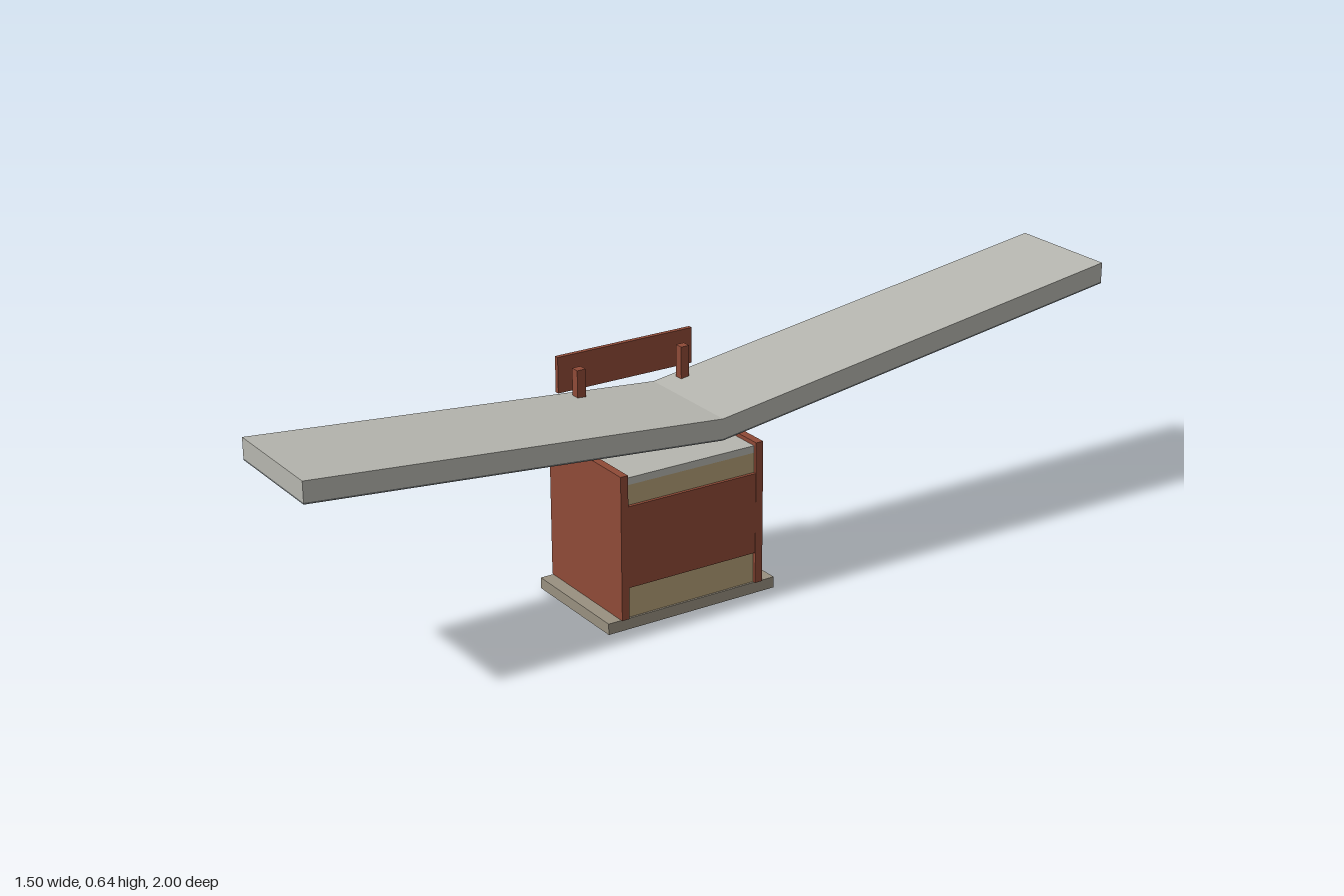
import * as THREE from 'three';

const material = (name, color) => {
  const m = new THREE.MeshStandardMaterial({ color });
  m.name = name;
  return m;
};

export function createModel() {
  const brick = material('rust red', 0x8f4a37);
  const concrete = material('pale concrete', 0xb6b6af);
  const dark = material('dark soffit grey', 0x6a6e6e);
  const stone = material('base stone', 0x989080);
  const cream = material('cream', 0xb5a077);
  const glass = material('dark glass', 0x344f57);

  const group = new THREE.Group();
  group.name = 'shelter';
  // The whole building stands turned on its plot
  const body = new THREE.Group();
  body.name = 'building';
  body.rotation.y = 0.969;
  group.add(body);

  // Box given by its lower and upper limits on each axis
  const box = (name, mat, [x0, x1], [y0, y1], [z0, z1]) => {
    const mesh = new THREE.Mesh(new THREE.BoxGeometry(x1 - x0, y1 - y0, z1 - z0), mat);
    mesh.position.set((x0 + x1) / 2, (y0 + y1) / 2, (z0 + z1) / 2);
    mesh.name = name;
    body.add(mesh);
  };

  // Base slab and the kiosk between two end walls
  const left = -0.31, right = 0.046, sill = 0.107, head = 0.312;
  box('base', stone, [-0.365, 0.103], [0, 0.028], [-0.154, 0.154]);
  box('endWall', brick, [left - 0.02, left], [0.028, 0.39], [-0.158, 0.158]);
  box('endWall', brick, [right, right + 0.02], [0.028, 0.39], [-0.158, 0.158]);
  box('kioskBody', cream, [left, right], [0.028, 0.362], [-0.149, 0.149]);
  box('kioskCeiling', concrete, [left, right], [0.362, 0.38], [-0.149, 0.149]);

  // Closed panel on one long side
  box('frontPanel', brick, [left, right], [sill, head], [0.149, 0.157]);

  // Window band with bars on the other
  box('window', glass, [left, right], [sill, head], [-0.153, -0.148]);
  for (const t of [1 / 3, 2 / 3]) {
    const x = left + (right - left) * t;
    box('windowBar', concrete, [x - 0.0045, x + 0.0045], [sill, head], [-0.156, -0.152]);
  }
  box('windowBar', concrete, [left, right], [0.208, 0.216], [-0.156, -0.152]);

  // Long folded roof with a thin dark lining underneath
  const fold = -0.042, end = 1.112, half = 0.149;
  const foldedSlab = (name, mat, drop, t) => {
    const profile = new THREE.Shape([
      [-end, 0.512], [fold, 0.417], [end, 0.586],
      [end, 0.586 + t], [fold, 0.417 + t], [-end, 0.512 + t],
    ].map(([x, y]) => new THREE.Vector2(x, y - drop)));
    const geometry = new THREE.ExtrudeGeometry(profile, { depth: half * 2, bevelEnabled: false });
    geometry.translate(0, 0, -half);
    const mesh = new THREE.Mesh(geometry, mat);
    mesh.name = name;
    body.add(mesh);
  };
  foldedSlab('roof', concrete, 0, 0.05);
  foldedSlab('roofLining', dark, 0.004, 0.004);

  // Posts rising through the roof
  for (const x of [-0.269, 0.022]) {
    box('post', brick, [x - 0.0115, x + 0.0115], [0.37, 0.556], [-0.13, -0.107]);
  }

  // Sign board with a framed blank face
  const s0 = -0.312, s1 = 0.064, b0 = 0.495, b1 = 0.585, rim = 0.013;
  box('signBoard', brick, [s0, s1], [b0, b1], [-0.149, -0.142]);
  box('signFace', concrete, [s0 + rim, s1 - rim], [b0 + rim, b1 - rim], [-0.152, -0.149]);
  for (const y of [b0, b1 - rim]) box('signRim', brick, [s0, s1], [y, y + rim], [-0.154, -0.149]);
  for (const x of [s0, s1 - rim]) box('signRim', brick, [x, x + rim], [b0 + rim, b1 - rim], [-0.154, -0.149]);

  return group;
}
